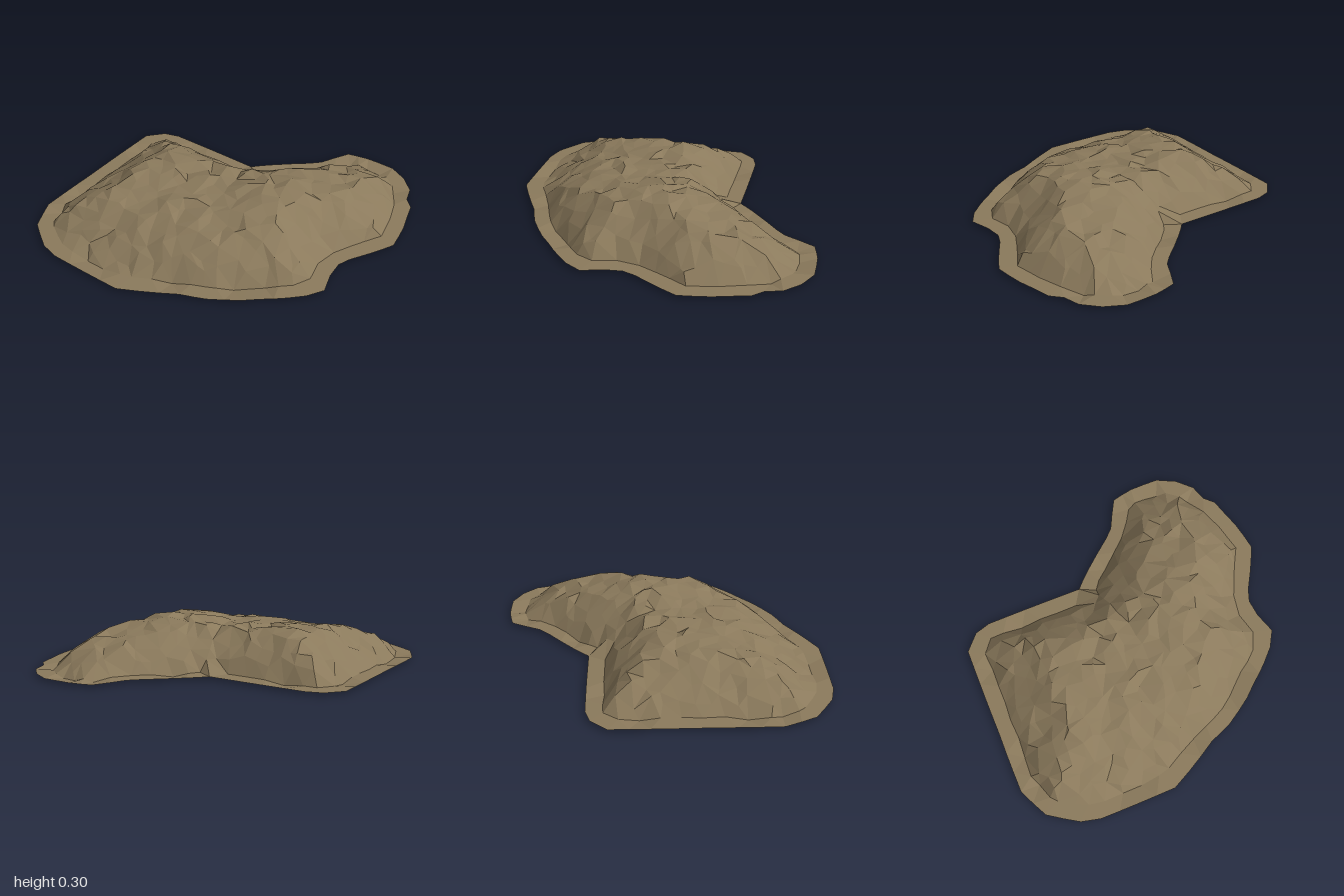
import * as THREE from 'three';

// Footprint of the mound, as [x, z]
const outline = [
  [-0.66, -1], [-0.27, -1], [0.32, -1], [0.42, -0.91], [0.45, -0.81], [0.45, -0.18], [0.55, -0.08],
  [0.72, 0.12], [0.78, 0.18], [0.97, 0.28], [1, 0.42], [1, 0.61], [0.94, 0.73], [0.85, 0.82],
  [0.75, 0.85], [0.69, 0.91], [0.58, 0.94], [0.48, 0.97], [0.29, 1], [0.12, 0.91], [0.02, 0.85],
  [-0.06, 0.82], [-0.17, 0.83], [-0.3, 0.87], [-0.4, 0.81], [-0.48, 0.73], [-0.58, 0.61],
  [-0.65, 0.53], [-0.76, 0.36], [-0.82, 0.21], [-0.94, 0], [-1, -0.12], [-1, -0.61],
  [-0.97, -0.73], [-0.85, -0.91],
];

// Height limits along x, along z, and by distance from the rim
const alongX = [[-1, 0.015], [-0.88, 0.03], [-0.8, 0.06], [-0.7, 0.12], [-0.57, 0.2], [-0.3, 0.25], [-0.1, 0.28],
  [0.1, 0.3], [0.2, 0.3], [0.3, 0.24], [0.5, 0.2], [0.6, 0.18], [0.7, 0.13], [0.8, 0.08], [0.9, 0.02], [1, 0.015]];
const alongZ = [[-1, 0.015], [-0.92, 0.02], [-0.8, 0.11], [-0.65, 0.2], [-0.55, 0.265], [-0.4, 0.26], [-0.2, 0.25],
  [0, 0.265], [0.2, 0.285], [0.4, 0.3], [0.6, 0.23], [0.7, 0.17], [0.8, 0.11], [0.97, 0.015], [1, 0.015]];
const fromRim = [[0, 0.015], [0.085, 0.02], [0.2, 0.13], [0.3, 0.21], [0.4, 0.29], [0.5, 0.32]];

function sample(table, t) {
  for (let i = 1; i < table.length; i++) {
    const [a, ya] = table[i - 1], [b, yb] = table[i];
    if (t <= b) return ya + (yb - ya) * Math.max(0, (t - a) / (b - a));
  }
  return table[table.length - 1][1];
}

let seed = 7;
function random() {
  seed = (seed * 16807) % 2147483647;
  return seed / 2147483647;
}

function inside(x, z) {
  let hit = false;
  outline.forEach(([ax, az], i) => {
    const [bx, bz] = outline[(i + 1) % outline.length];
    if (az > z !== bz > z && x < ax + ((z - az) / (bz - az)) * (bx - ax)) hit = !hit;
  });
  return hit;
}

function rimDistance(x, z) {
  let best = Infinity;
  outline.forEach(([ax, az], i) => {
    const [bx, bz] = outline[(i + 1) % outline.length];
    const dx = bx - ax, dz = bz - az;
    const t = THREE.MathUtils.clamp(((x - ax) * dx + (z - az) * dz) / (dx * dx + dz * dz), 0, 1);
    best = Math.min(best, Math.hypot(x - ax - t * dx, z - az - t * dz));
  });
  return best;
}

// Delaunay triangulation of [x, z] points
function triangulate(points) {
  const all = [...points, [-30, -20], [30, -20], [0, 40]];
  const n = points.length;
  const circle = (a, b, c) => {
    const [ax, az] = all[a], bx = all[b][0] - ax, bz = all[b][1] - az, cx = all[c][0] - ax, cz = all[c][1] - az;
    const d = 2 * (bx * cz - bz * cx), b2 = bx * bx + bz * bz, c2 = cx * cx + cz * cz;
    const ux = (cz * b2 - bz * c2) / d, uz = (bx * c2 - cx * b2) / d;
    return { v: [a, b, c], x: ax + ux, z: az + uz, r2: ux * ux + uz * uz };
  };
  let triangles = [circle(n, n + 1, n + 2)];
  for (let p = 0; p < n; p++) {
    const [x, z] = all[p];
    const edges = new Map();
    triangles = triangles.filter((t) => {
      if ((x - t.x) ** 2 + (z - t.z) ** 2 >= t.r2) return true;
      for (let k = 0; k < 3; k++) {
        const a = t.v[k], b = t.v[(k + 1) % 3];
        if (!edges.delete(`${b},${a}`)) edges.set(`${a},${b}`, [a, b]);
      }
      return false;
    });
    for (const [a, b] of edges.values()) triangles.push(circle(a, b, p));
  }
  return triangles.map((t) => t.v).filter((v) => v.every((i) => i < n));
}

function moundGeometry() {
  const points = [], heights = [];
  const add = (x, z, y) => { points.push([x, z]); heights.push(y); };

  // Thin rim, and the inner line of the flat apron
  outline.forEach(([ax, az], i) => {
    const [bx, bz] = outline[(i + 1) % outline.length];
    const length = Math.hypot(bx - ax, bz - az), steps = Math.ceil(length / 0.14);
    for (let k = 0; k < steps; k++) {
      // A tiny bow keeps points on a straight edge from being exactly in line
      const t = k / steps, bow = 0.002 * Math.sin(Math.PI * t);
      const nx = -(bz - az) / length, nz = (bx - ax) / length;
      add(ax + (bx - ax) * t - nx * bow, az + (bz - az) * t - nz * bow, 0.015);
      const m = (k + 0.5) / steps, inset = 0.09 + 0.02 * random();
      const x = ax + (bx - ax) * m + nx * inset, z = az + (bz - az) * m + nz * inset;
      const crowded = points.some(([px, pz]) => Math.hypot(px - x, pz - z) < 0.05);
      if (rimDistance(x, z) > 0.08 && !crowded) add(x, z, random() < 0.25 ? 0 : 0.018);
    }
  });

  // Rough rocky ground
  const step = 0.085;
  for (let gx = -1; gx < 1; gx += step) {
    for (let gz = -1; gz < 1; gz += step) {
      const x = gx + (random() - 0.5) * step * 0.8, z = gz + (random() - 0.5) * step * 0.8;
      const d = rimDistance(x, z);
      if (!inside(x, z) || d < 0.14) continue;
      const y = Math.min(sample(fromRim, d), sample(alongX, x), sample(alongZ, z));
      const rough = 0.035 * Math.min(1, d / 0.25);
      add(x, z, Math.max(0.02, y + (random() - 0.8) * rough));
    }
  }

  const index = [];
  for (const [a, b, c] of triangulate(points)) {
    const [ax, az] = points[a], [bx, bz] = points[b], [cx, cz] = points[c];
    const up = (bz - az) * (cx - ax) - (bx - ax) * (cz - az);
    if (Math.abs(up) < 1e-5 || !inside((ax + bx + cx) / 3, (az + bz + cz) / 3)) continue;
    index.push(...(up > 0 ? [a, b, c] : [a, c, b]));
  }
  const geometry = new THREE.BufferGeometry();
  const positions = points.flatMap(([x, z], i) => [x, heights[i], z]);
  geometry.setAttribute('position', new THREE.Float32BufferAttribute(positions, 3));
  geometry.setIndex(index);
  geometry.computeVertexNormals();
  return geometry;
}

export function createModel() {
  seed = 7;
  const earth = new THREE.MeshStandardMaterial({ color: 0x8b7a5c, flatShading: true, side: THREE.DoubleSide });
  earth.name = 'earth brown';
  const mound = new THREE.Mesh(moundGeometry(), earth);
  mound.name = 'rockyMound';
  const group = new THREE.Group();
  group.name = 'rockMound';
  group.add(mound);
  return group;
}
